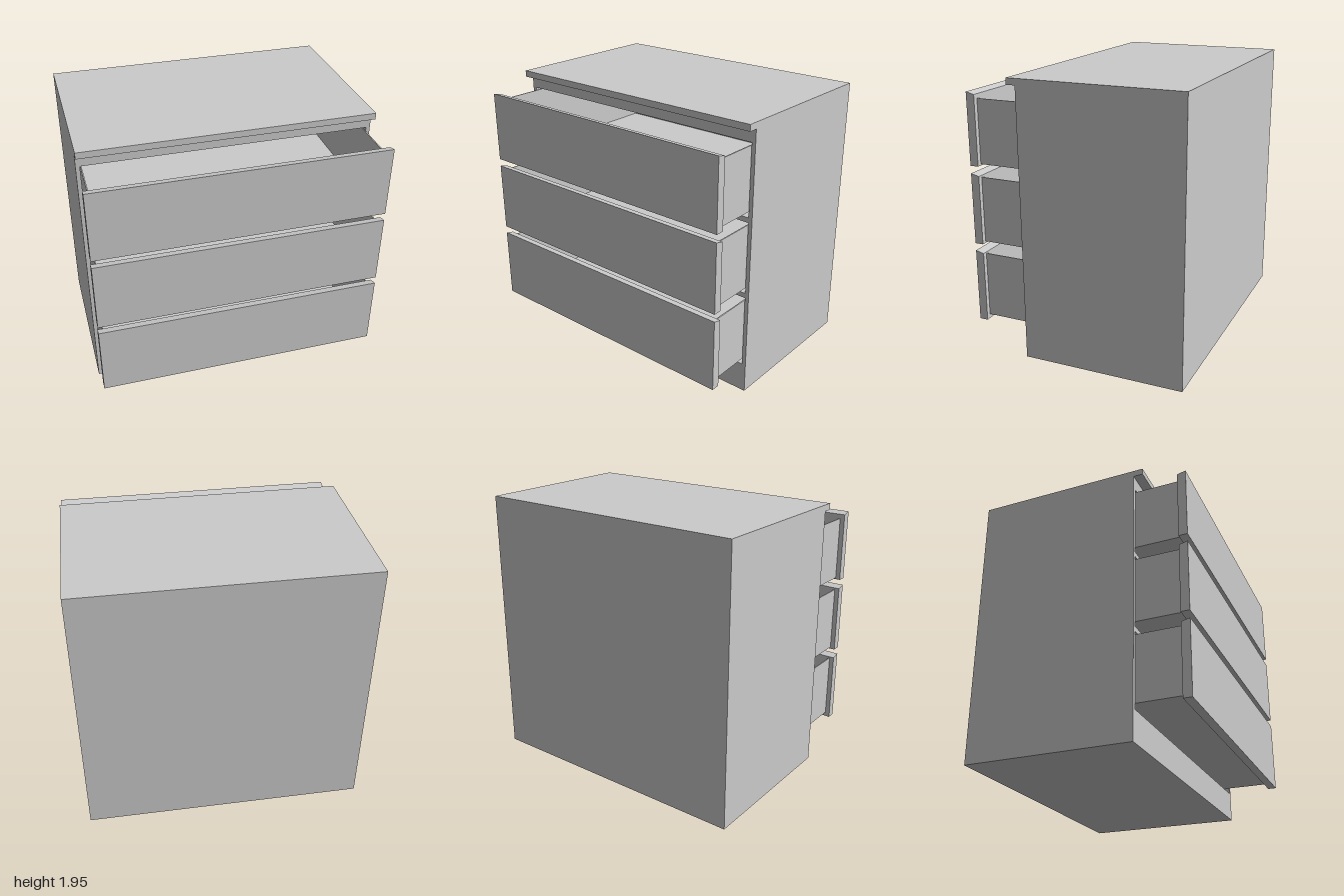
import * as THREE from 'three';

const material = new THREE.MeshStandardMaterial({ color: 0xcccccc, flatShading: true });

// Box given by its low and high corners
function block(parent, name, [x0, y0, z0], [x1, y1, z1]) {
  const mesh = new THREE.Mesh(new THREE.BoxGeometry(x1 - x0, y1 - y0, z1 - z0), material);
  mesh.position.set((x0 + x1) / 2, (y0 + y1) / 2, (z0 + z1) / 2);
  mesh.name = name;
  parent.add(mesh);
}

// Open drawer tray with a full-width front whose top slopes down to the back
function createDrawer(boxBottom, boxTop, frontBottom, frontTop) {
  const drawer = new THREE.Group();
  drawer.name = 'drawer';
  const w = 0.967, t = 0.008, back = -0.7, front = 0.7;
  block(drawer, 'drawerFloor', [-w, boxBottom, back], [w, boxBottom + t, front]);
  for (const s of [-1, 1]) {
    const edges = [s * w, s * (w - t)].sort((a, b) => a - b);
    block(drawer, 'drawerSide', [edges[0], boxBottom + t, back], [edges[1], boxTop, front]);
  }
  block(drawer, 'drawerBack', [-w + t, boxBottom + t, back], [w - t, boxTop, back + t]);

  // Profile drawn as (-z, y), then swept along x
  const profile = new THREE.Shape([
    new THREE.Vector2(-0.76, frontBottom),
    new THREE.Vector2(-0.7, frontBottom),
    new THREE.Vector2(-0.7, frontTop - 0.015),
    new THREE.Vector2(-0.76, frontTop),
  ]);
  const geometry = new THREE.ExtrudeGeometry(profile, { depth: 2, bevelEnabled: false });
  geometry.translate(0, 0, -1).rotateY(Math.PI / 2);
  const panel = new THREE.Mesh(geometry, material);
  panel.name = 'drawerFront';
  drawer.add(panel);
  return drawer;
}

export function createModel() {
  const model = new THREE.Group();
  model.name = 'chestOfDrawers';

  // Carcass
  const cabinet = new THREE.Group();
  cabinet.name = 'cabinet';
  model.add(cabinet);
  const back = -0.76, front = 0.39, inner = 0.972, under = 1.9;
  block(cabinet, 'sidePanel', [-1, 0, back], [-inner, under, front]);
  block(cabinet, 'sidePanel', [inner, 0, back], [1, under, front]);
  block(cabinet, 'backPanel', [-inner, 0.21, back], [inner, under, back + 0.03]);
  block(cabinet, 'plinth', [-inner, 0, back], [inner, 0.21, front]);
  block(cabinet, 'topRail', [-inner, 1.81, back + 0.03], [inner, under, front]);
  for (const y of [0.73, 1.275]) {
    block(cabinet, 'dividerRail', [-inner, y, back + 0.03], [inner, y + 0.035, front]);
  }

  // Overhanging top
  block(model, 'top', [-1, under, back], [1, 1.945, 0.455]);

  // Three pulled-out drawers
  model.add(createDrawer(0.25, 0.71, 0.22, 0.735));
  model.add(createDrawer(0.8, 1.257, 0.788, 1.285));
  model.add(createDrawer(1.348, 1.79, 1.338, 1.835));
  return model;
}
